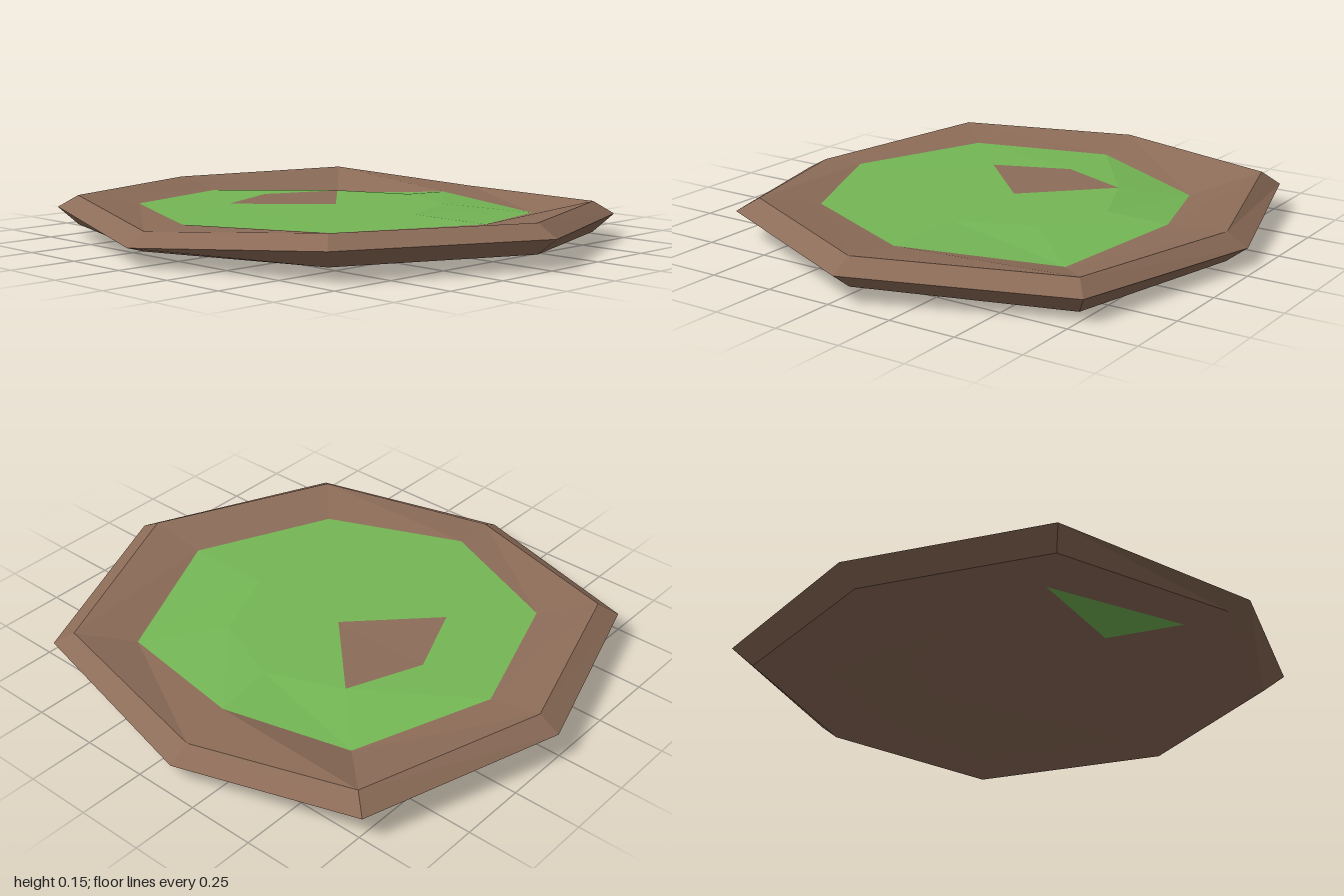
import * as THREE from 'three';

const brown = new THREE.MeshStandardMaterial({ color: 0x8c6c58, flatShading: true });
brown.name = 'earthBrown';
const green = new THREE.MeshStandardMaterial({ color: 0x74b655, flatShading: true });
green.name = 'grassGreen';

// Eight-corner rings, starting at the back and going round by the +x side.
const edge = [
  [0.015, 0.102, -1], [0.76, 0.097, -0.77], [0.95, 0.062, -0.1], [0.77, 0.082, 0.69],
  [0.025, 0.102, 1], [-0.7, 0.106, 0.67], [-0.95, 0.066, -0.02], [-0.7, 0.106, -0.77],
];
const rimTop = [
  [0.015, 0.148, -0.92], [0.71, 0.151, -0.71], [0.87, 0.108, -0.1], [0.72, 0.128, 0.63],
  [0.025, 0.148, 0.92], [-0.64, 0.151, 0.61], [-0.87, 0.111, -0.03], [-0.65, 0.151, -0.71],
];
const lawnTop = [
  [0.02, 0.11, -0.72], [0.51, 0.074, -0.51], [0.66, 0.106, -0.06], [0.565, 0.083, 0.465],
  [0.03, 0.118, 0.69], [-0.48, 0.118, 0.46], [-0.7, 0.116, -0.04], [-0.49, 0.12, -0.55],
];
const innerTop = lawnTop.map((_, i) => {
  const a = (i * Math.PI) / 4;
  return [0.03 + 0.4 * Math.sin(a), 0.119, -0.035 - 0.395 * Math.cos(a)];
});
const centreTop = [0.03, 0.118, -0.035];

// Underside rings share the plan of the upper ones, hollowed in the middle.
const atHeights = (ring, heights) => ring.map(([x, , z], i) => [x, heights[i], z]);
const rimBottom = atHeights(rimTop, [0.038, 0.036, 0, 0.012, 0.042, 0.042, 0.044, 0.041]);
const lawnBottom = atHeights(lawnTop, [0.045, 0.032, 0.035, 0.013, 0.045, 0.045, 0.042, 0.04]);
const innerBottom = innerTop.map(([x, , z]) => [x, 0.09, z]);
const centreBottom = [0.03, 0.09, -0.035];

// Triangles between two rings; the diagonal runs the other way underneath.
function band(outer, inner, below = false) {
  const tris = [];
  for (let i = 0; i < 8; i++) {
    const j = (i + 1) % 8;
    if (below) {
      tris.push([outer[i], outer[j], inner[i]], [outer[j], inner[j], inner[i]]);
    } else {
      tris.push([outer[i], inner[j], outer[j]], [outer[i], inner[i], inner[j]]);
    }
  }
  return tris;
}

// Triangles from a ring to its middle point.
function fan(ring, centre, below = false) {
  return ring.map((p, i) => {
    const q = ring[(i + 1) % 8];
    return below ? [p, q, centre] : [p, centre, q];
  });
}

function createPart(name, tris, material) {
  const geometry = new THREE.BufferGeometry();
  geometry.setAttribute('position', new THREE.Float32BufferAttribute(tris.flat(2), 3));
  geometry.computeVertexNormals();
  const mesh = new THREE.Mesh(geometry, material);
  mesh.name = name;
  return mesh;
}

export function createModel() {
  const model = new THREE.Group();
  model.name = 'grassPatch';

  // The two rearmost facets of the middle are bare earth.
  const middle = fan(innerTop, centreTop);
  const isBare = (t, i) => i === 0 || i === 7;
  // One green facet underneath, at the back of the -x side.
  const under = band(lawnBottom, innerBottom, true);
  const isMoss = (t, i) => i === 12;

  model.add(
    createPart('upperBevel', band(edge, rimTop), brown),
    createPart('lowerBevel', band(edge, rimBottom, true), brown),
    createPart('earthRim', band(rimTop, lawnTop), brown),
    createPart('lawnRing', band(lawnTop, innerTop), green),
    createPart('lawnMiddle', middle.filter((t, i) => !isBare(t, i)), green),
    createPart('bareEarth', middle.filter(isBare), brown),
    createPart('undersideRim', band(rimBottom, lawnBottom, true), brown),
    createPart('undersideRing', under.filter((t, i) => !isMoss(t, i)), brown),
    createPart('undersideMoss', under.filter(isMoss), green),
    createPart('undersideMiddle', fan(innerBottom, centreBottom, true), brown),
  );
  return model;
}
